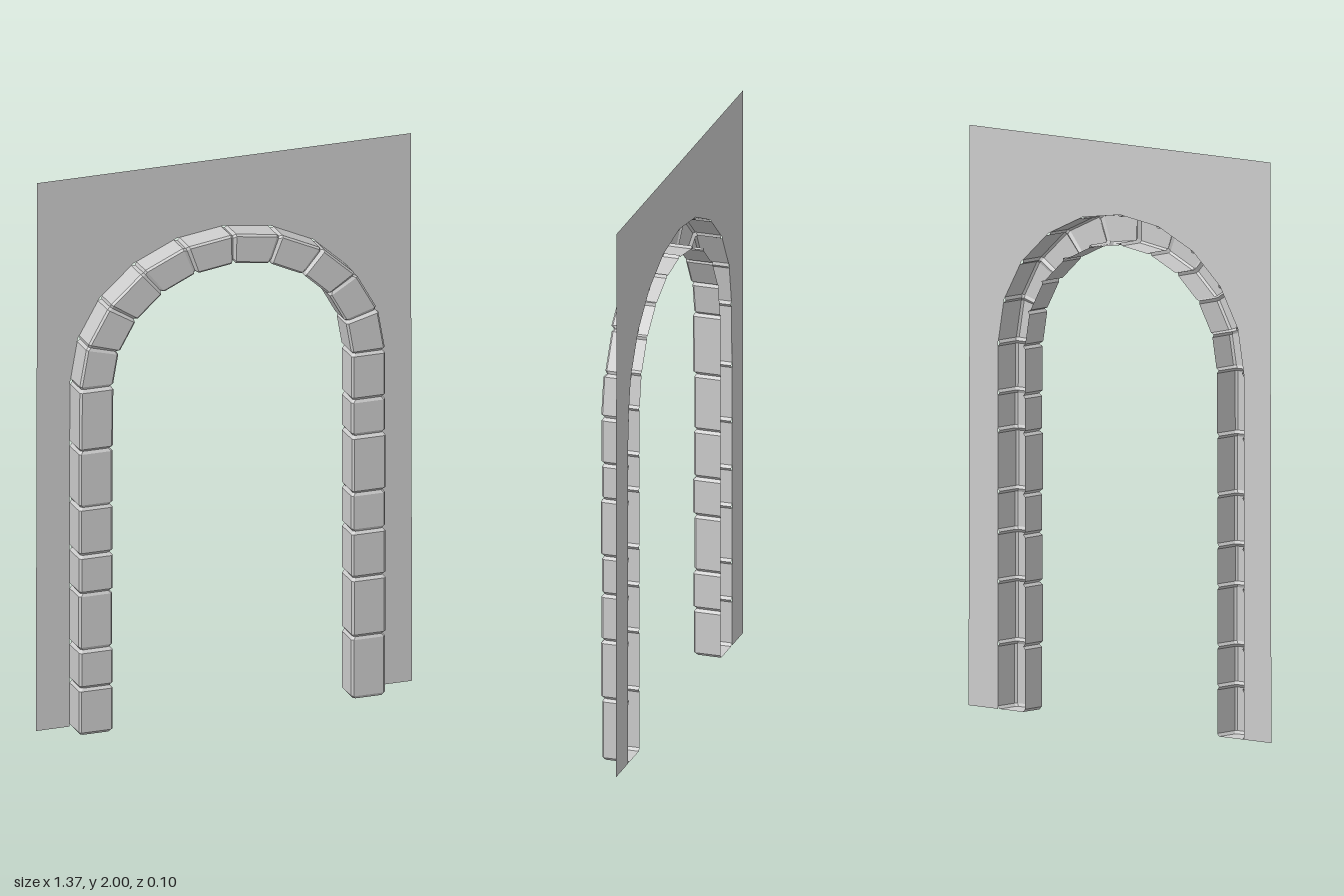
import * as THREE from 'three';

const BACK = -0.05, FRONT = 0.048, SPRING = 1.26;
const GROOVE = 0.01;  // length of the bevel at each stone end
const INSET = 0.008;  // depth of the joints
const CHAMFER = 0.007;

const stoneMat = new THREE.MeshStandardMaterial({ color: 0xcccccc, flatShading: true, side: THREE.DoubleSide });
const wallMat = new THREE.MeshStandardMaterial({ color: 0xcccccc, side: THREE.DoubleSide });

// Joint lines (outer point, inner point) from the left foot over the arch to the right foot
function makeJoints() {
  const joints = [];
  const add = (ox, oy, ix, iy) =>
    joints.push({ outer: new THREE.Vector2(ox, oy), inner: new THREE.Vector2(ix, iy) });
  for (const y of [0, 0.17, 0.31, 0.515, 0.655, 0.83, 1.035]) add(-0.562, y, -0.44, y);
  for (let i = 0; i <= 10; i++) {
    const a = Math.PI * (1 - i / 10), c = Math.cos(a), s = Math.sin(a);
    const shift = c > 0 ? 0.008 * c : 0;
    add(0.56 * c - shift, SPRING + 0.495 * s, 0.438 * c - shift, SPRING + 0.39 * s);
  }
  for (const y of [1.09, 0.96, 0.75, 0.61, 0.44, 0.225, 0]) add(0.553, y, 0.43, y);
  return joints;
}

// Open-backed cross-section between an outer and an inner point
function section(outer, inner, inset, front) {
  const w = outer.distanceTo(inner);
  const at = (d, z) => {
    const p = outer.clone().lerp(inner, d / w);
    return new THREE.Vector3(p.x, p.y, z);
  };
  const f = front - inset, c = CHAMFER;
  return [
    at(inset, BACK), at(inset, f - c), at(inset + c, f),
    at(w - inset - c, f), at(w - inset, f - c), at(w - inset, BACK),
  ];
}

// Hollow bevelled stone between two joints; cap is the end that stands on the floor
function makeStone(a, b, wobble, cap) {
  const mid = a.outer.clone().add(a.inner).multiplyScalar(0.5);
  const len = mid.distanceTo(b.outer.clone().add(b.inner).multiplyScalar(0.5));
  const g = GROOVE / len;
  const rings = [0, g, 1 - g, 1].map((t, i) => {
    const end = i === 0 || i === 3;
    return section(
      a.outer.clone().lerp(b.outer, t), a.inner.clone().lerp(b.inner, t),
      end ? INSET : 0, end ? FRONT : FRONT + wobble);
  });
  const pos = [];
  const tri = (...pts) => pts.forEach(p => pos.push(p.x, p.y, p.z));
  for (let r = 0; r < 3; r++) {
    for (let k = 0; k < 5; k++) {
      const p = rings[r][k], q = rings[r][k + 1], s = rings[r + 1][k], t = rings[r + 1][k + 1];
      tri(p, s, q);
      tri(q, s, t);
    }
  }
  if (cap !== null) {
    const ring = rings[cap === 0 ? 0 : 3];
    for (let k = 1; k < 5; k++) {
      if (cap === 0) tri(ring[0], ring[k], ring[k + 1]);
      else tri(ring[0], ring[k + 1], ring[k]);
    }
  }
  const geo = new THREE.BufferGeometry();
  geo.setAttribute('position', new THREE.Float32BufferAttribute(pos, 3));
  geo.computeVertexNormals();
  return new THREE.Mesh(geo, stoneMat);
}

export function createModel() {
  const model = new THREE.Group();
  model.name = 'stoneArchway';
  const joints = makeJoints();

  // Thin wall sheet, cut out along the outside of the stones
  const outline = [
    new THREE.Vector2(-0.685, 0), ...joints.map(j => j.outer),
    new THREE.Vector2(0.685, 0), new THREE.Vector2(0.68, 2), new THREE.Vector2(-0.68, 2),
  ];
  const wall = new THREE.Mesh(new THREE.ShapeGeometry(new THREE.Shape(outline)), wallMat);
  wall.position.z = BACK;
  wall.name = 'wall';
  model.add(wall);

  // Stones of both jambs and the arch, with slightly uneven faces
  const groups = {};
  for (const name of ['rightJamb', 'arch', 'leftJamb']) {
    groups[name] = new THREE.Group();
    groups[name].name = name;
    model.add(groups[name]);
  }
  const last = joints.length - 2;
  for (let i = 0; i <= last; i++) {
    const cap = i === 0 ? 0 : i === last ? 1 : null;
    const stone = makeStone(joints[i], joints[i + 1], 0.003 * Math.sin(i * 2.4), cap);
    const part = i < 7 ? 'rightJamb' : i < 17 ? 'arch' : 'leftJamb';
    stone.name = part === 'arch' ? 'archStone' : 'jambStone';
    groups[part].add(stone);
  }
  return model;
}
